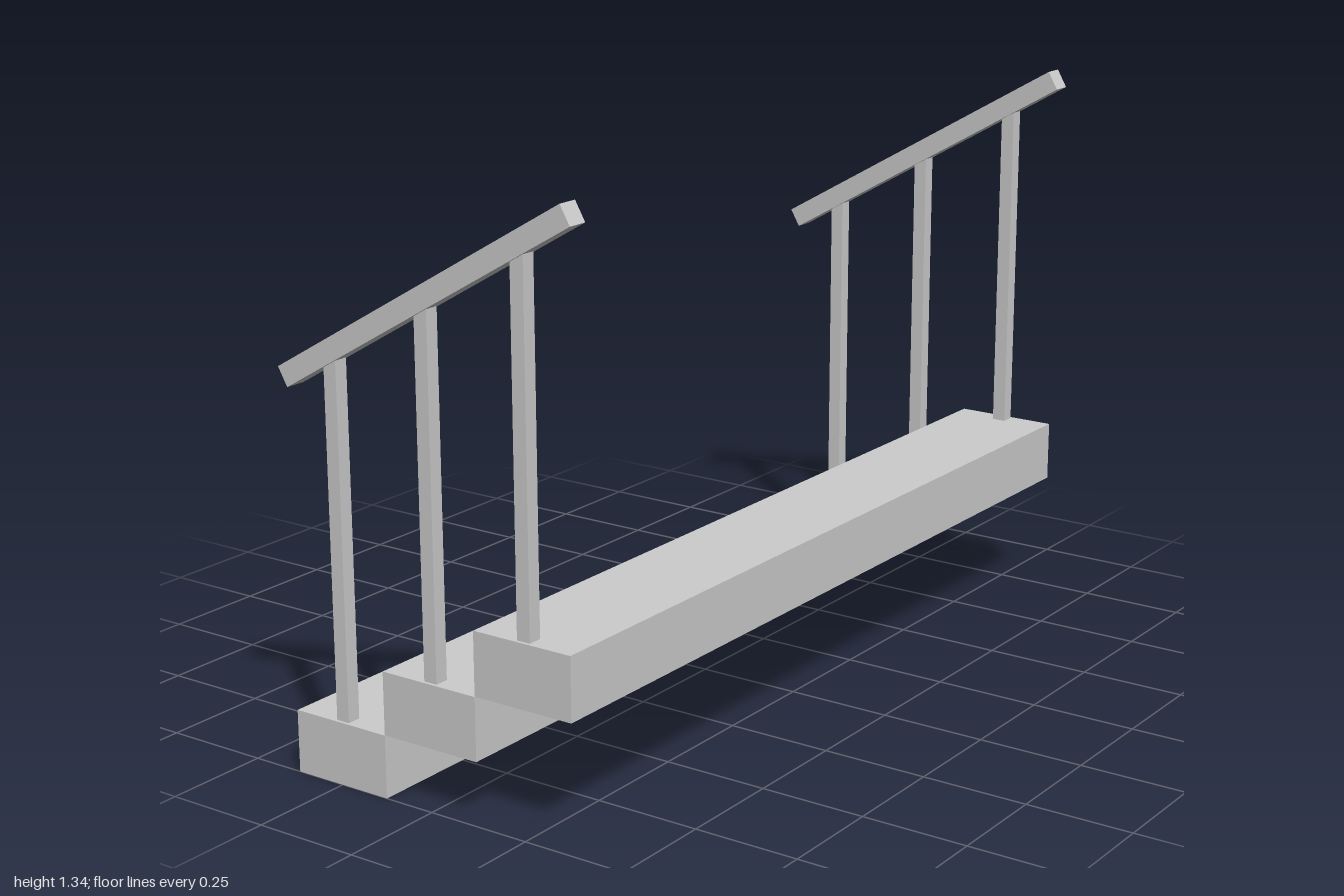
import * as THREE from 'three';

const material = new THREE.MeshStandardMaterial({ color: 0xcccccc, flatShading: true });

function addBox(parent, name, size, position) {
  const mesh = new THREE.Mesh(new THREE.BoxGeometry(...size), material);
  mesh.name = name;
  mesh.position.set(...position);
  parent.add(mesh);
  return mesh;
}

export function createModel() {
  const group = new THREE.Group();
  group.name = 'staircase';

  const run = 0.249, rise = 0.1445;
  const slope = Math.PI / 6;
  const railY = 1.105, railZ = 0.976;

  // Three solid treads climbing towards +x
  for (let i = 0; i < 3; i++) {
    addBox(group, 'step', [run, rise - 0.001, 2], [(i - 1) * run, (i + 0.5) * rise, 0]);
  }

  // A sloping handrail on three square posts at each end of the treads
  for (const side of [-1, 1]) {
    const railing = new THREE.Group();
    railing.name = side > 0 ? 'frontRailing' : 'backRailing';
    for (let i = 0; i < 3; i++) {
      const x = (i - 1) * run;
      const bottom = (i + 1) * rise - 0.001;
      const top = railY + x * Math.tan(slope) - 0.012; // ends inside the handrail
      addBox(railing, 'post', [0.033, top - bottom, 0.033], [x, (top + bottom) / 2, side * railZ]);
    }
    const rail = addBox(railing, 'handrail', [0.866, 0.048, 0.048], [0, railY, side * railZ]);
    rail.rotation.z = slope;
    group.add(railing);
  }
  return group;
}
